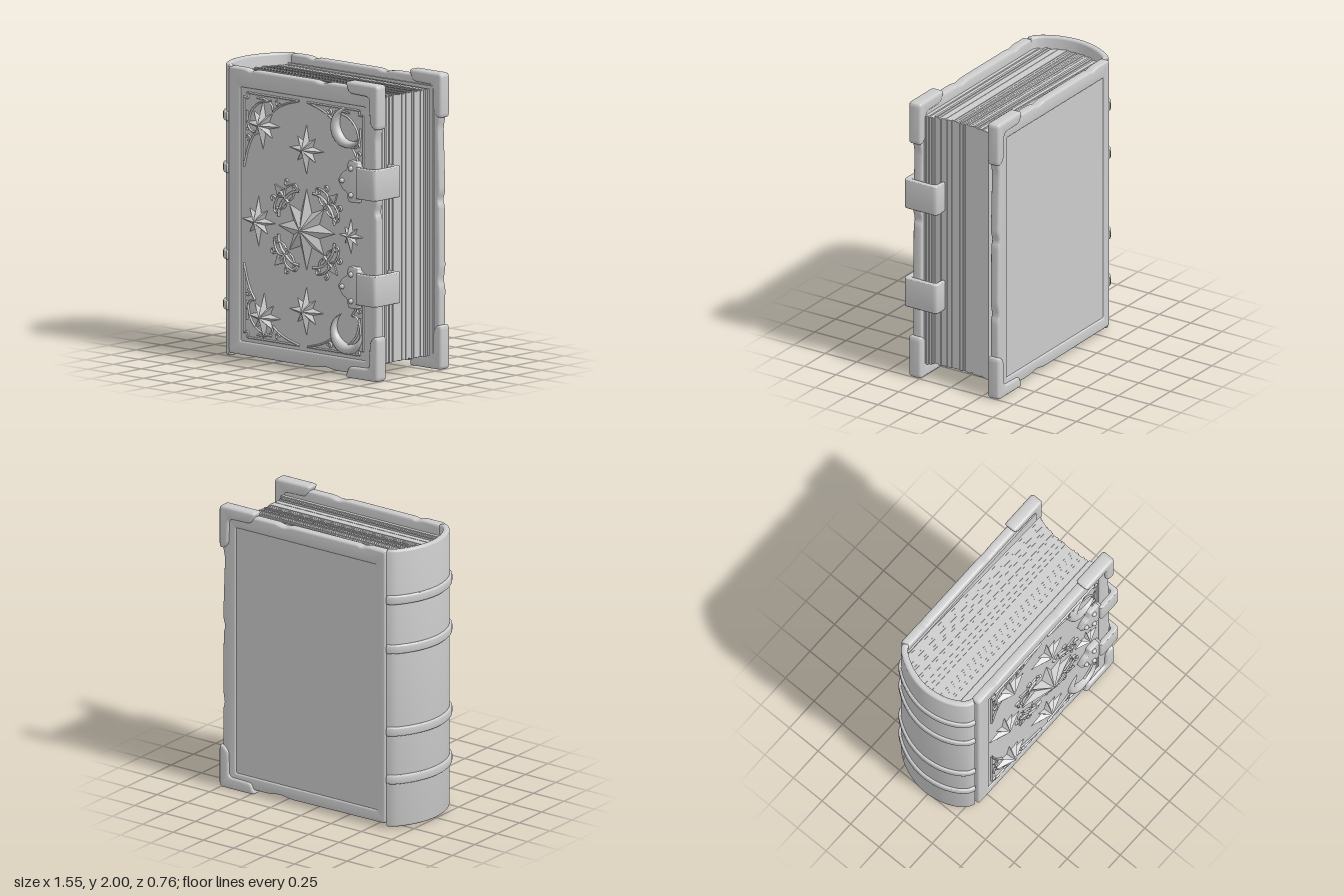
import * as THREE from 'three';
import { toCreasedNormals } from 'three/addons/utils/BufferGeometryUtils.js';

const mat = new THREE.MeshStandardMaterial({ color: 0xcccccc });
const thin = new THREE.MeshStandardMaterial({ color: 0xcccccc, side: THREE.DoubleSide });
const flat = new THREE.MeshStandardMaterial({ color: 0xcccccc, flatShading: true, side: THREE.DoubleSide });
const V = (x, y) => new THREE.Vector2(x, y);

function add(parent, name, geo, material = mat) {
  const mesh = new THREE.Mesh(geo, material);
  mesh.name = name;
  parent.add(mesh);
  return mesh;
}

// polygon with rounded corners
function roundPoly(pts, r, Type = THREE.Shape) {
  const path = new Type();
  const p = pts.map(([x, y]) => V(x, y));
  p.forEach((c, i) => {
    const a = p[(i + p.length - 1) % p.length], b = p[(i + 1) % p.length];
    const from = c.clone().lerp(a, Math.min(0.4, r / c.distanceTo(a)));
    const to = c.clone().lerp(b, Math.min(0.4, r / c.distanceTo(b)));
    if (i === 0) path.moveTo(from.x, from.y);
    else path.lineTo(from.x, from.y);
    path.quadraticCurveTo(c.x, c.y, to.x, to.y);
  });
  path.closePath();
  return path;
}

const rect = (x0, y0, x1, y1) => [[x0, y0], [x1, y0], [x1, y1], [x0, y1]];

// bevelled plate facing z, filling z0..z1
function plate(shape, z0, z1, b) {
  const geo = new THREE.ExtrudeGeometry(shape, {
    depth: z1 - z0 - 2 * b, bevelEnabled: b > 0, bevelSize: b, bevelThickness: b,
    bevelOffset: -b, bevelSegments: 3, curveSegments: 5,
  });
  geo.translate(0, 0, z0 + b);
  return toCreasedNormals(geo, 0.6);
}

// plan outline drawn as (x, -z), raised from y0 to y1
const upright = (shape, y0, y1, b) => plate(shape, y0, y1, b).rotateX(-Math.PI / 2);

// curved strip following the spine
const spineCurve = new THREE.SplineCurve([V(-0.6, 0.355), V(-0.65, 0.325), V(-0.71, 0.235), V(-0.75, 0.13),
  V(-0.765, 0.02), V(-0.75, -0.1), V(-0.71, -0.2), V(-0.66, -0.265), V(-0.61, -0.29)]);
function spineBand(out, inner) {
  const n = 36, outer = [], back = [];
  for (let i = 0; i <= n; i++) {
    const p = spineCurve.getPoint(i / n), t = spineCurve.getTangent(i / n), nrm = V(-t.y, t.x);
    outer.push(p.clone().addScaledVector(nrm, -out));
    back.unshift(p.clone().addScaledVector(nrm, inner));
  }
  return new THREE.Shape([...outer, ...back]);
}

// raised eight-pointed star with folded rays
function star(rx, ry, diag, inner, h) {
  const ring = [];
  for (let i = 0; i < 16; i++) {
    const a = i * Math.PI / 8;
    const r = i % 2 ? inner : i % 4 === 2 ? diag : i % 8 === 0 ? rx : ry;
    ring.push([r * Math.cos(a), r * Math.sin(a), 0]);
  }
  const pos = ring.flatMap((p, i) => [0, 0, h, ...p, ...ring[(i + 1) % 16]]);
  const geo = new THREE.BufferGeometry();
  geo.setAttribute('position', new THREE.Float32BufferAttribute(pos, 3));
  geo.computeVertexNormals();
  return geo;
}

// domed crescent, opening towards angle `open`
function crescent(R, open) {
  const geo = new THREE.PlaneGeometry(1, 1, 40, 8), p = geo.attributes.position;
  for (let i = 0; i < p.count; i++) {
    const u = p.getX(i) + 0.5, v = p.getY(i) + 0.5, s = Math.sin(Math.PI * u);
    const a = open + 0.85 + u * (2 * Math.PI - 1.7);
    const r = R - v * 0.085 * s;
    p.setXYZ(i, r * Math.cos(a), r * Math.sin(a), 0.04 * Math.sqrt(Math.sin(Math.PI * v) * s + 1e-6));
  }
  geo.computeVertexNormals();
  return geo;
}

// flattened wire relief
function wire(parent, pts, r = 0.007) {
  const curve = new THREE.CatmullRomCurve3(pts.map(([x, y]) => new THREE.Vector3(x, y, 0)));
  add(parent, 'filigree', new THREE.TubeGeometry(curve, pts.length * 6, r, 6).scale(1, 1, 1.6), thin);
}

const spiral = (cx, cy, r, a0, turn) => Array.from({ length: 9 }, (_, i) => {
  const a = a0 + turn * i / 8, q = r * (1 - 0.07 * i);
  return [cx + q * Math.cos(a), cy + q * Math.sin(a)];
});

// one book board: worn raised border around a recessed panel
function board(group, name, hole, z0, z1, panelZ0, panelZ1) {
  const outline = [[-0.6, 0.035], [0.18, 0.03], [0.27, 0.045], [0.36, 0.03], [0.735, 0.03], [0.74, 0.55], [0.725, 0.6],
    [0.74, 0.68], [0.735, 1.1], [0.72, 1.14], [0.74, 1.2], [0.725, 1.63], [0.74, 1.7], [0.735, 1.965],
    [0.3, 1.965], [0.24, 1.95], [0.18, 1.965], [-0.37, 1.965], [-0.4, 1.955], [-0.45, 1.97], [-0.6, 1.97]];
  const frame = roundPoly(outline, 0.025);
  frame.holes.push(roundPoly(rect(...hole), 0.01, THREE.Path));
  add(group, name + 'Border', plate(frame, z0, z1, 0.014));
  const [x0, y0, x1, y1] = hole;
  add(group, name + 'Panel', plate(roundPoly(rect(x0 - 0.03, y0 - 0.03, x1 + 0.03, y1 + 0.03), 0.01), panelZ0, panelZ1, 0));
}

export function createModel() {
  const book = new THREE.Group();
  book.name = 'book';

  // boards
  board(book, 'frontCover', [-0.49, 0.13, 0.63, 1.84], 0.245, 0.312, 0.25, 0.302);
  board(book, 'backCover', [-0.53, 0.12, 0.63, 1.86], -0.37, -0.305, -0.361, -0.31);

  // spine and raised bands
  add(book, 'spine', upright(spineBand(0, 0.045), 0.01, 1.975, 0.015));
  for (const y of [1.625, 1.275, 0.69, 0.35])
    add(book, 'spineBand', upright(spineBand(0.017, 0.01), y - 0.032, y + 0.032, 0.012));

  // page leaves: hollow fore-edge, rounded back, uneven edges
  const pages = new THREE.Group();
  pages.name = 'pages';
  book.add(pages);
  let seed = 7;
  const rnd = () => (seed = (seed * 16807) % 2147483647) / 2147483647;
  const n = 34, z0 = -0.3, z1 = 0.25, dz = (z1 - z0) / n;
  for (let i = 0; i < n; i++) {
    const z = z0 + (i + 0.5) * dz, k = (z + 0.025) / 0.275;
    const right = 0.65 + 0.045 * k ** 4 + rnd() * 0.012;
    const left = -0.6 - 0.115 * Math.sqrt(Math.max(0, 1 - k * k));
    const top = 1.885 + rnd() * 0.012, low = 0.1 - rnd() * 0.012;
    const geo = new THREE.BoxGeometry(right - left, top - low, dz);
    geo.translate((left + right) / 2, (top + low) / 2, z);
    const p = geo.attributes.position;
    for (let j = 0; j < p.count; j++)
      if (p.getZ(j) < 0) p.setZ(j, p.getZ(j) * (1 - 0.13 * (p.getX(j) + 0.7) / 1.4));
    geo.computeVertexNormals();
    add(pages, 'leaf', geo);
  }
  add(pages, 'endpaper', new THREE.BoxGeometry(1.3, 1.84, 0.015).translate(0.04, 0.99, -0.3));

  // metal corners on the fore-edge
  const corner = [[0.465, 2], [0.5, 1.92], [0.68, 1.915], [0.685, 1.74], [0.72, 1.7], [0.76, 1.7], [0.76, 2]];
  const lower = corner.map(([x, y]) => [x, 2 - y]).reverse();
  for (const [a, b] of [[0.237, 0.333], [-0.385, -0.295]])
    for (const c of [corner, lower]) add(book, 'metalCorner', plate(roundPoly(c, 0.03), a, b, 0.018));

  // clasps: pointed bracket, rivets and wrapping strap
  const strap = [[0.59, 0.365], [0.77, 0.365], [0.77, 0.1], [0.66, 0.1], [0.66, 0.13], [0.735, 0.13], [0.735, 0.33], [0.59, 0.33]];
  const half = [[0.455, 0.06], [0.49, 0.075], [0.505, 0.14], [0.59, 0.14], [0.595, 0.115], [0.615, 0.11]];
  const bracket = [[0.41, 0], ...half, ...half.map(([x, y]) => [x, -y]).reverse()];
  for (const y of [1.33, 0.615]) {
    const clasp = new THREE.Group();
    clasp.name = 'clasp';
    clasp.position.y = y;
    book.add(clasp);
    add(clasp, 'strap', upright(roundPoly(strap.map(([x, z]) => [x, -z]), 0.03), -0.105, 0.105, 0.008));
    add(clasp, 'bracket', plate(roundPoly(bracket, 0.012), 0.295, 0.342, 0.008));
    for (const [x, ry] of [[0.455, 0], [0.535, 0.09], [0.535, -0.09]])
      add(clasp, 'rivet', new THREE.SphereGeometry(0.018, 14, 10)).position.set(x, ry, 0.346);
  }

  // stars: x, y, horizontal, vertical, diagonal and notch radii, height
  const stars = [[0.1, 0.95, 0.255, 0.275, 0.22, 0.125, 0.072], [-0.29, 1.61, 0.155, 0.165, 0.12, 0.06, 0.06],
    [0.1, 1.49, 0.155, 0.17, 0.115, 0.06, 0.055], [-0.33, 0.955, 0.15, 0.17, 0.115, 0.06, 0.055],
    [0.5, 0.955, 0.11, 0.12, 0.08, 0.04, 0.045], [-0.28, 0.315, 0.15, 0.165, 0.12, 0.06, 0.06],
    [0.1, 0.4, 0.155, 0.165, 0.115, 0.06, 0.055]];
  for (const [x, y, ...size] of stars)
    add(book, 'star', star(...size), flat).position.set(x, y, 0.303);

  // moons
  add(book, 'moon', crescent(0.137, 0.5), thin).position.set(0.46, 1.68, 0.301);
  add(book, 'moon', crescent(0.14, 1.05), thin).position.set(0.46, 0.29, 0.301);

  // corner filigree: two tapering arms with curls, mirrored to each corner
  for (const [x, y, sx, sy] of [[-0.46, 1.81, 1, -1], [-0.46, 0.16, 1, 1], [0.61, 1.81, -1, -1], [0.61, 0.16, -1, 1]]) {
    const g = new THREE.Group();
    g.name = 'cornerFiligree';
    g.position.set(x, y, 0.303);
    g.scale.set(sx, sy, 1);
    book.add(g);
    for (const swap of [false, true]) {
      const w = pts => wire(g, swap ? pts.map(([a, b]) => [b, a]) : pts);
      w([[0.03, 0], [0.25, 0], [0.5, 0]]);
      w([[0.5, 0], [0.39, 0.03], [0.31, 0.065], [0.26, 0.1]]);
      w([[0.26, 0.1], [0.25, 0.06], [0.2, 0.03], [0.12, 0.025]]);
      w(spiral(0.3, 0.035, 0.022, 0, 5));
    }
    wire(g, [[0.03, 0], [0.035, 0.035], [0, 0.03]]);
    wire(g, [[0.25, 0.03], [0.13, 0.06], [0.06, 0.13], [0.03, 0.25]]);
  }

  // scrollwork around the large star, mirrored to four quarters
  const barb = new THREE.Shape([V(0.04, 0.04), V(-0.035, 0.015), V(-0.005, -0.005), V(0.015, -0.035)]);
  for (const sx of [1, -1]) for (const sy of [1, -1]) {
    const g = new THREE.Group();
    g.name = 'centreScrollwork';
    g.position.set(0.1, 0.95, 0.303);
    g.scale.set(sx, sy, 1);
    book.add(g);
    wire(g, [[0.16, 0.16], [0.2, 0.2], [0.24, 0.235]], 0.009);
    add(g, 'scrollTip', plate(barb, 0, 0.012, 0), thin).position.set(0.24, 0.235, 0);
    for (const swap of [false, true]) {
      const w = (pts, r) => wire(g, swap ? pts.map(([a, b]) => [b, a]) : pts, r);
      w([[0.19, 0.19], [0.225, 0.15], [0.245, 0.1], [0.25, 0.06]], 0.009);
      w([[0.2, 0.2], [0.25, 0.19], [0.28, 0.15], [0.29, 0.11]]);
      w(spiral(0.268, 0.105, 0.024, 0, -5));
      w(spiral(0.3, 0.175, 0.022, 3, -4.5));
      w([[0.235, 0.11], [0.2, 0.125], [0.18, 0.15]]);
    }
  }
  return book;
}
